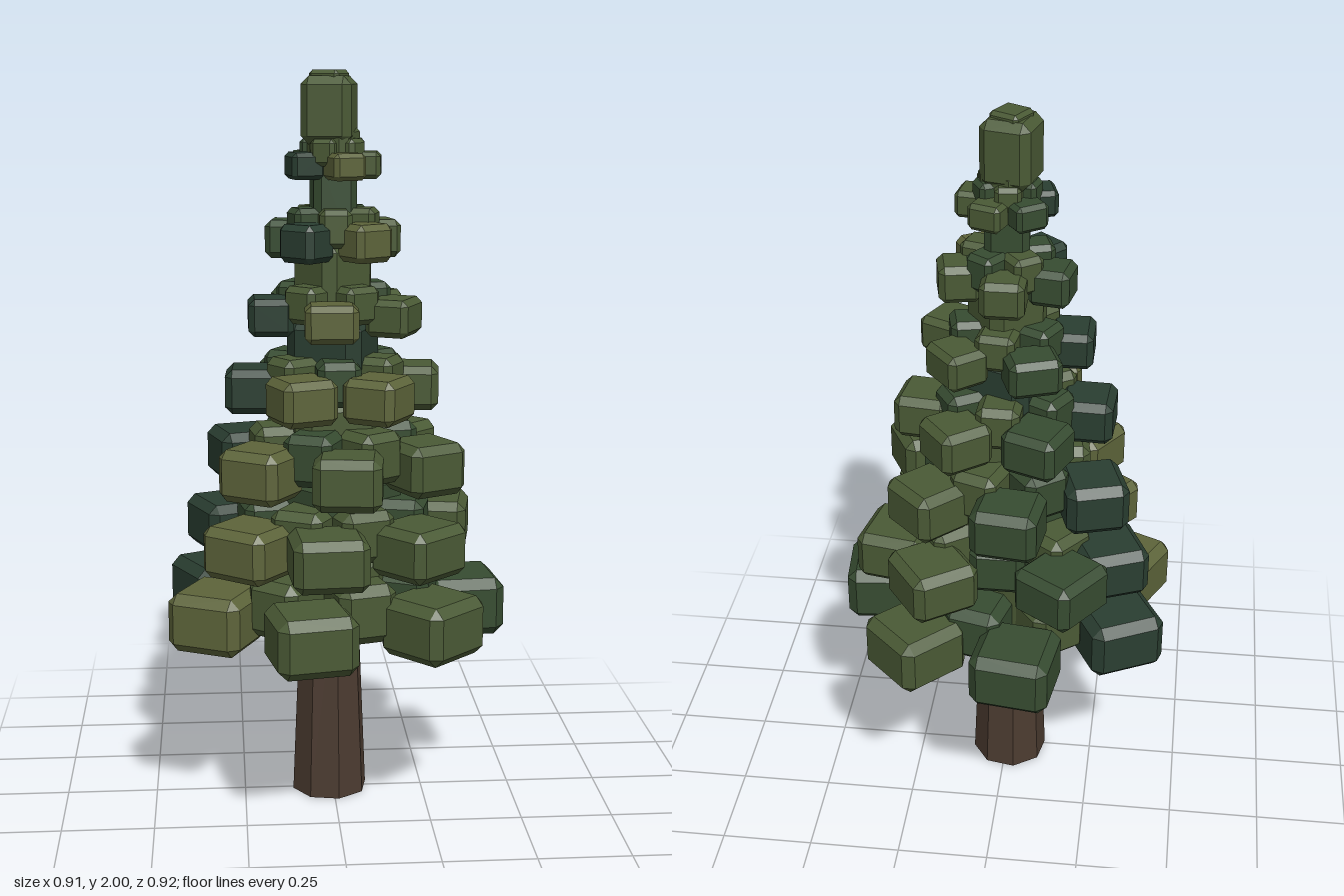
import * as THREE from 'three';
import { ConvexGeometry } from 'three/addons/geometries/ConvexGeometry.js';

const RAD = Math.PI / 180;
const mat = (color) => new THREE.MeshStandardMaterial({ color, flatShading: true });
const leaf = {
  g: mat(0x4a5a35), // green
  d: mat(0x374c31), // dark green
  t: mat(0x2a3e31), // blue green
  y: mat(0x5d643a), // olive
};

// Box with all edges and corners cut off
function chamferBox(w, h, d, c) {
  const pts = [];
  for (const sx of [-1, 1]) for (const sy of [-1, 1]) for (const sz of [-1, 1]) {
    const s = [sx, sy, sz], p = [sx * w / 2, sy * h / 2, sz * d / 2];
    for (let keep = 0; keep < 3; keep++) {
      pts.push(new THREE.Vector3(...p.map((v, i) => (i === keep ? v : v - s[i] * c))));
    }
  }
  return new ConvexGeometry(pts);
}

// Block between heights y0 and y1, centred at radius r in direction angle and
// facing yaw; both angles run from +x towards +z
function block(name, key, w, d, y0, y1, r, angle, yaw) {
  const c = Math.min(w, y1 - y0, d) * 0.16;
  const mesh = new THREE.Mesh(chamferBox(d, y1 - y0, w, c), leaf[key]);
  mesh.position.set(r * Math.cos(angle * RAD), (y0 + y1) / 2, r * Math.sin(angle * RAD));
  mesh.rotation.y = -yaw * RAD;
  mesh.name = name;
  return mesh;
}

// Tiers from bottom to top: block heights, ring radius, block size, core width,
// then [direction, facing, colour] of each block
const tiers = [
  { y0: 0.48, y1: 0.64, r: 0.352, w: 0.215, d: 0.21, core: 0.33,
    ring: [[103, 79, 'g'], [45, 47, 'g'], [4, -5, 'd'], [-51, -45, 'g'], [-100, -82, 'd'],
      [-155, -207, 't'], [156, 206, 'y']] },
  { y0: 0.69, y1: 0.83, r: 0.302, w: 0.20, d: 0.19, core: 0.30,
    ring: [[96, 86, 'g'], [45, 48, 'g'], [-17, 11, 'g'], [-55, -35, 'g'], [-125, -145, 'd'],
      [-160, -203, 't'], [140, 128, 'y']] },
  { y0: 0.89, y1: 1.03, r: 0.26, w: 0.18, d: 0.17, core: 0.24,
    ring: [[85, 97, 'g'], [24, -27, 'g'], [-43, -45, 'g'], [-97, -83, 'd'],
      [-158, -197, 't'], [141, 123, 'y']] },
  { y0: 1.10, y1: 1.22, r: 0.215, w: 0.155, d: 0.15, core: 0.21,
    ring: [[60, 32, 'y'], [-5, 7, 'g'], [-58, -38, 'g'], [-118, -68, 'd'],
      [178, 183, 't'], [116, 68, 'y']] },
  { y0: 1.31, y1: 1.41, r: 0.17, w: 0.14, d: 0.12, core: 0.17,
    ring: [[95, 92, 'y'], [22, 26, 'g'], [-47, -40, 'g'], [-118, -110, 'd'], [172, 180, 't']] },
  { y0: 1.51, y1: 1.61, r: 0.126, w: 0.115, d: 0.11, core: 0.115,
    ring: [[52, 58, 'y'], [-18, -12, 'g'], [-92, -90, 'g'], [198, 190, 'd'], [127, 132, 't']] },
  { y0: 1.72, y1: 1.79, r: 0.082, w: 0.09, d: 0.09, core: 0.12,
    ring: [[72, 70, 'y'], [5, 8, 'g'], [-65, -70, 'g'], [-130, -125, 'd'], [158, 165, 't']] },
];

export function createModel() {
  const tree = new THREE.Group();
  tree.name = 'tree';

  // Faceted trunk
  const trunk = new THREE.Mesh(new THREE.CylinderGeometry(0.08, 0.106, 0.62, 8), mat(0x4b3b30));
  trunk.rotation.y = 0.2;
  trunk.position.set(-0.01, 0.31, -0.01);
  trunk.name = 'trunk';
  tree.add(trunk);

  tiers.forEach((t, i) => {
    const tier = new THREE.Group();
    tier.name = `foliageTier${i + 1}`;

    // Core reaching up into the next tier
    const top = i < tiers.length - 1 ? tiers[i + 1].y0 + 0.05 : 1.86;
    tier.add(block('foliageCore', i === 3 ? 't' : i % 2 ? 'd' : 'g',
      t.core, t.core, t.y0 + 0.02, top, 0, 0, 20 + i * 31));

    t.ring.forEach(([angle, yaw, key], k) => {
      // Outer ring
      tier.add(block('outerFoliage', key, t.w, t.d, t.y0, t.y1, t.r, angle, yaw));

      // Smaller, raised inner ring set between the outer blocks
      const next = t.ring[(k + 1) % t.ring.length][0];
      const mid = angle - (((angle - next) % 360) + 360) % 360 / 2;
      tier.add(block('innerFoliage', k % 2 ? 'd' : 'g', t.w * 0.75, t.d * 0.8,
        t.y0 + 0.035, t.y1 + 0.035, t.r * 0.6, mid, mid));
    });
    tree.add(tier);
  });

  // Crown: tall block with a small cap
  const crown = block('crown', 'g', 0.135, 0.135, 1.81, 1.985, 0.01, 180, 14);
  const cap = block('crownCap', 'g', 0.085, 0.085, 1.94, 2.0, 0.01, 180, 28);
  tree.add(crown, cap);
  return tree;
}
